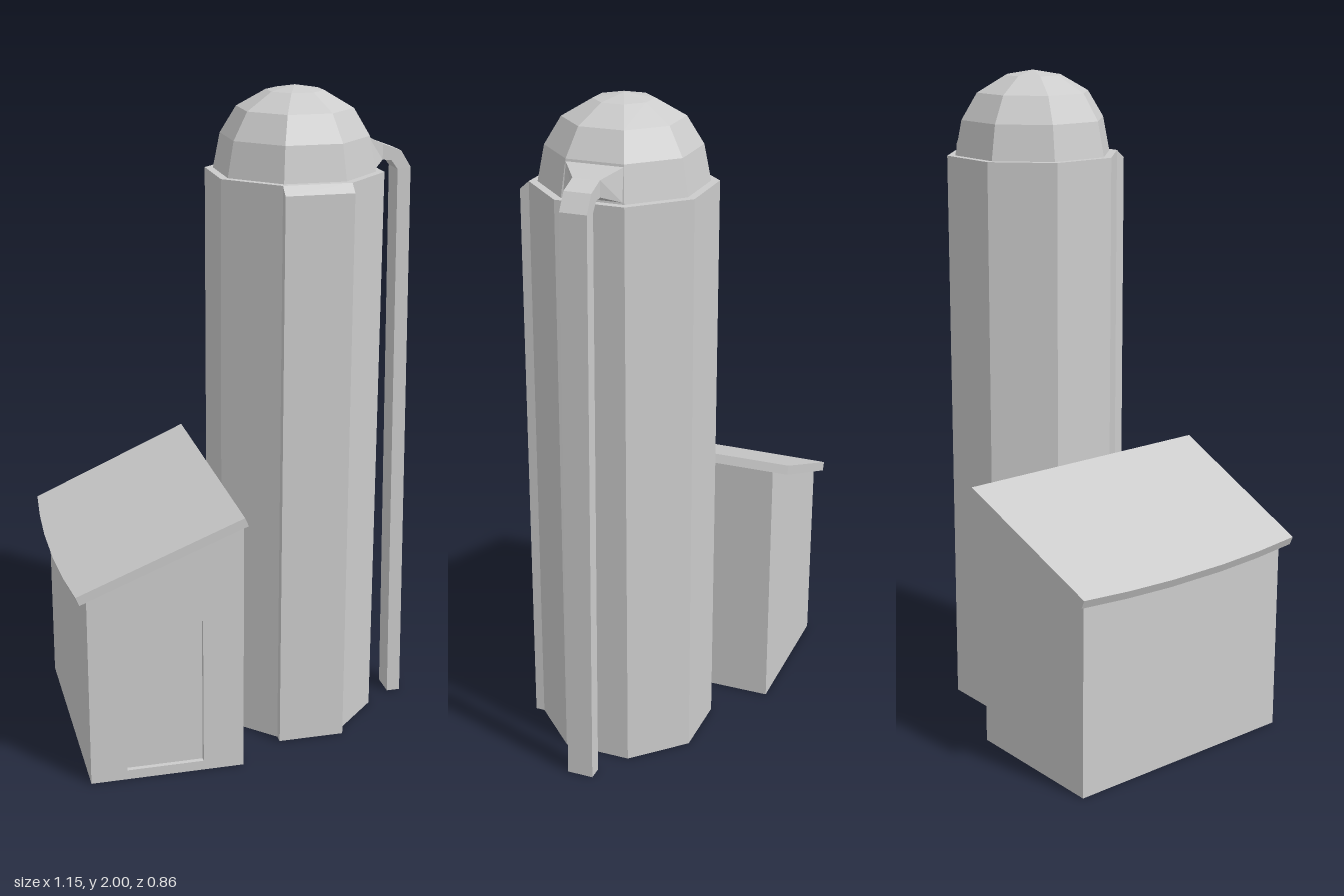
import * as THREE from 'three';

const material = new THREE.MeshStandardMaterial({
  color: 0xcccccc, flatShading: true, side: THREE.DoubleSide,
});

// Joins a series of rings of [x, y, z] points; rings run counter-clockwise about the direction of travel.
function loft(rings, { closed = true, startCap = false, endCap = false } = {}) {
  const out = [];
  const tri = (a, b, c) => out.push(...a, ...b, ...c);
  const n = rings[0].length;
  for (let i = 0; i < rings.length - 1; i++) {
    for (let j = 0; j < (closed ? n : n - 1); j++) {
      const k = (j + 1) % n;
      tri(rings[i][j], rings[i][k], rings[i + 1][k]);
      tri(rings[i][j], rings[i + 1][k], rings[i + 1][j]);
    }
  }
  const first = rings[0], last = rings[rings.length - 1];
  for (let j = 1; j < n - 1; j++) {
    if (startCap) tri(first[0], first[j + 1], first[j]);
    if (endCap) tri(last[0], last[j], last[j + 1]);
  }
  const geometry = new THREE.BufferGeometry();
  geometry.setAttribute('position', new THREE.Float32BufferAttribute(out, 3));
  geometry.computeVertexNormals();
  return geometry;
}

function part(name, geometry, parent) {
  const mesh = new THREE.Mesh(geometry, material);
  mesh.name = name;
  parent.add(mesh);
  return mesh;
}

// Octagon with flat faces to the front and sides, sized by its apothem
const SILO_X = 0.197;
function octagon(apothem, y) {
  const r = apothem / Math.cos(Math.PI / 8);
  return Array.from({ length: 8 }, (_, k) => {
    const t = (k + 0.5) * Math.PI / 4;
    return [SILO_X + r * Math.sin(t), y, r * Math.cos(t)];
  });
}

function buildSilo(parent) {
  // Tower: octagon whose front face is pushed forward, bevelled at the top, open below
  const tower = [[0.248, 0, 0.028], [0.248, 1.725, 0.028], [0.248, 1.75, 0], [0.2, 1.75, 0]];
  part('siloTower', loft(tower.map(([apothem, y, bump]) => {
    const ring = octagon(apothem, y);
    const [right, left] = [ring[0], ring[7]];
    return [...ring, [left[0], y, left[2] + bump], [right[0], y, right[2] + bump]];
  })), parent);

  // Faceted dome
  const dome = [[0.225, 1.75], [0.206, 1.855], [0.161, 1.935], [0.08, 1.985], [0, 2]];
  part('siloDome', loft(dome.map(([apothem, y]) => octagon(apothem, y))), parent);

  // Chute: funnel out of the dome, then a square duct down to the ground
  // Each row: outer x, outer y, inner x, inner y, half width
  const chute = [
    [0.4, 1.85, 0.42, 1.755, 0.088],
    [0.46, 1.822, 0.46, 1.775, 0.04],
    [0.518, 1.8, 0.488, 1.772, 0.04],
    [0.549, 1.75, 0.508, 1.745, 0.04],
    [0.573, 0, 0.53, 0, 0.04],
  ];
  part('chute', loft(chute.map(([ox, oy, ix, iy, w]) => [
    [ox, oy, -w], [ox, oy, w], [ix, iy, w], [ix, iy, -w],
  ])), parent);
}

function buildShed(parent) {
  const x0 = -0.52, x1 = -0.051, z = 0.385, low = 0.605, high = 0.805;

  // Side and back walls, open below
  const wallRing = (yLow, yHigh) => [[x1, yHigh, z], [x1, yHigh, -z], [x0, yLow, -z], [x0, yLow, z]];
  part('shedWalls', loft([wallRing(0, 0), wallRing(low, high)], { closed: false }), parent);

  // Front wall with a door opening
  const front = new THREE.Shape([[x0, 0], [x1, 0], [x1, high], [x0, low]].map((p) => new THREE.Vector2(...p)));
  const door = [[-0.41, 0.03], [-0.175, 0.03], [-0.175, 0.497], [-0.41, 0.497]];
  front.holes.push(new THREE.Path(door.map((p) => new THREE.Vector2(...p))));
  part('shedFrontWall', new THREE.ShapeGeometry(front), parent).position.z = z;

  // Recessed door
  const doorRing = (depth) => door.map(([x, y]) => [x, y, depth]);
  part('shedDoor', loft([doorRing(z), doorRing(z - 0.015)], { endCap: true }), parent);

  // Sloping roof slab: wider at the top, with a bowed lower edge
  const slope = (0.83 - 0.615) / (0.515);
  const roof = [-1, -0.62, -0.24, 0.24, 0.62, 1].map((s) => {
    const bow = 0.021 * (1 - s * s);
    const zl = 0.41 * s, zh = 0.432 * s;
    const x = -0.554 - bow, y = 0.83 + slope * (x + 0.06);
    return [[x + 0.011, y - 0.026, zl], [-0.049, 0.804, zh], [-0.06, 0.83, zh], [x, y, zl]];
  });
  part('shedRoof', loft(roof, { startCap: true, endCap: true }), parent);
}

export function createModel() {
  const model = new THREE.Group();
  model.name = 'siloWithShed';
  for (const [name, build] of [['silo', buildSilo], ['shed', buildShed]]) {
    const group = new THREE.Group();
    group.name = name;
    build(group);
    model.add(group);
  }
  return model;
}
